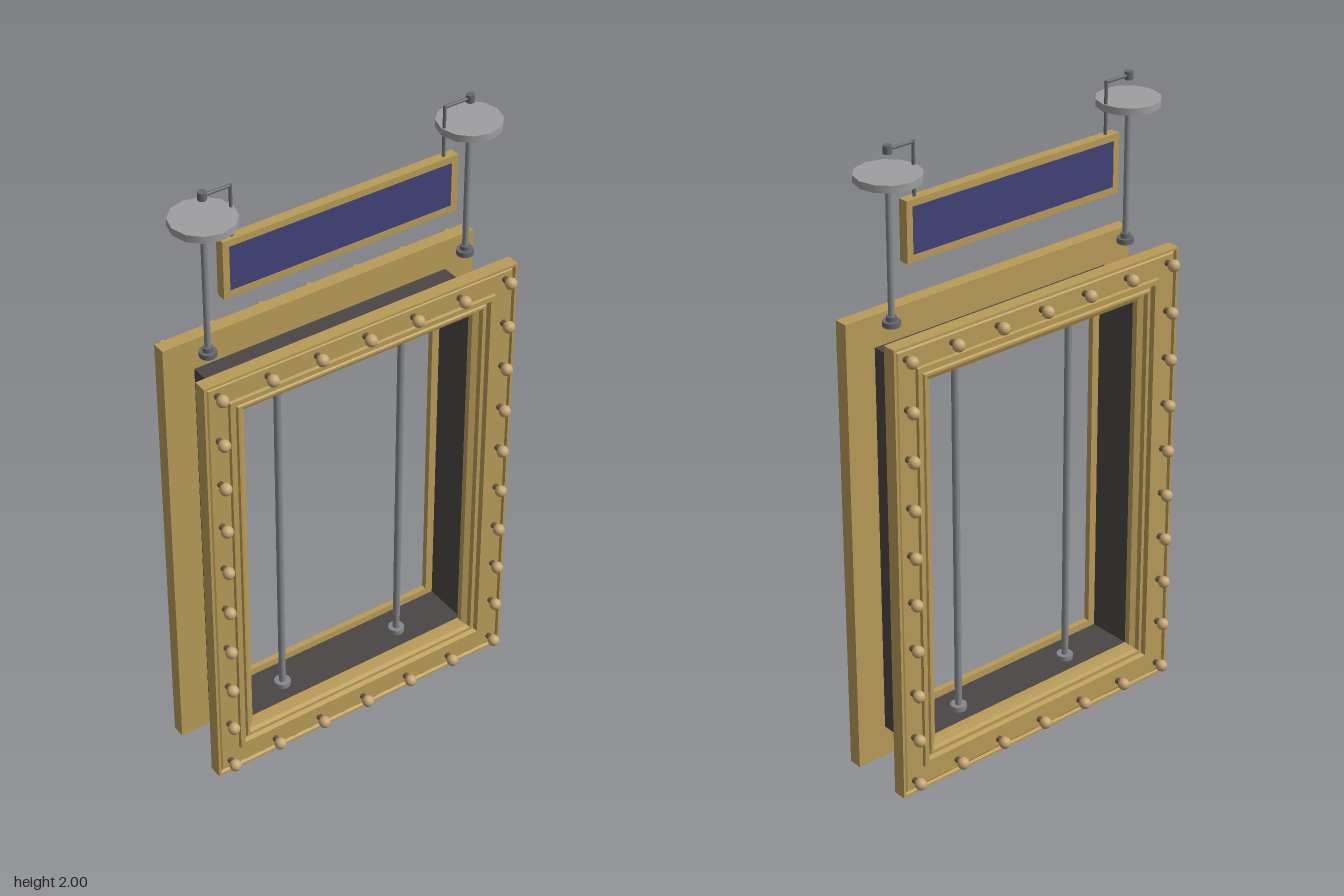
import * as THREE from 'three';

const mat = (name, color, extra = {}) => {
  const m = new THREE.MeshStandardMaterial({ color, ...extra });
  m.name = name;
  return m;
};

// Sweeps a closed (inset, z) profile around a rectangle with mitred corners
function ringGeometry(halfW, y0, y1, profile) {
  const pos = [];
  const signs = [[-1, -1], [1, -1], [1, 1], [-1, 1]];
  const corner = (c, [d, z]) => {
    const [sx, sy] = signs[c % 4];
    return [sx * (halfW - d), sy < 0 ? y0 + d : y1 - d, z];
  };
  for (let i = 0; i < profile.length; i++) {
    const p = profile[i], q = profile[(i + 1) % profile.length];
    for (let s = 0; s < 4; s++) {
      const a = corner(s, p), b = corner(s + 1, p), c = corner(s + 1, q), d = corner(s, q);
      pos.push(...a, ...b, ...c, ...a, ...c, ...d);
    }
  }
  const g = new THREE.BufferGeometry();
  g.setAttribute('position', new THREE.Float32BufferAttribute(pos, 3));
  g.computeVertexNormals();
  return g;
}

export function createModel() {
  const gold = mat('gold', 0xb99b58);
  const tan = mat('bulbTan', 0xc5a574);
  const bronze = mat('darkBronze', 0x6b5a3c);
  const dark = mat('darkLining', 0x4b4646);
  const blue = mat('signBlue', 0x424278);
  const steel = mat('steel', 0x85878c);
  const lightGrey = mat('capGrey', 0x9f9fa1);
  const hookGrey = mat('hookGrey', 0x66686e);

  const model = new THREE.Group();
  model.name = 'lightedFrame';
  const add = (parent, name, geo, material, x = 0, y = 0, z = 0) => {
    const m = new THREE.Mesh(geo, material);
    m.name = name;
    m.position.set(x, y, z);
    parent.add(m);
    return m;
  };
  const cyl = (r, h, n = 12) => new THREE.CylinderGeometry(r, r, h, n);

  // Moulded frames with bulbs, one facing each way
  const W = 0.535, H = 1.47;
  const frameGeo = ringGeometry(W, 0, H, [
    [0, 0.085], [0, 0.128], [0.008, 0.128], [0.012, 0.12], [0.017, 0.124],
    [0.077, 0.124], [0.08, 0.132], [0.095, 0.132], [0.1, 0.118], [0.106, 0.118],
    [0.11, 0.124], [0.117, 0.124], [0.122, 0.112], [0.14, 0.104], [0.14, 0.085],
  ]);
  const bulbGeo = new THREE.SphereGeometry(0.019, 12, 8);
  const stemGeo = cyl(0.01, 0.03, 8).rotateX(Math.PI / 2);

  const spots = [];
  for (let i = 0; i < 7; i++) for (const y of [0.045, 1.43]) spots.push([-0.492 + i * 0.164, y]);
  for (let i = 1; i < 9; i++) for (const x of [-0.492, 0.492]) spots.push([x, 0.045 + i * 1.385 / 9]);

  for (const [name, turn] of [['frontFrame', 0], ['backFrame', Math.PI]]) {
    const frame = new THREE.Group();
    frame.name = name;
    frame.rotation.y = turn;
    add(frame, 'moulding', frameGeo, gold);
    for (const [x, y] of spots) {
      add(frame, 'bulbStem', stemGeo, bronze, x, y, 0.132);
      add(frame, 'bulb', bulbGeo, tan, x, y, 0.154);
    }
    model.add(frame);
  }

  // Dark lining between the frames
  add(model, 'lining', ringGeometry(0.435, 0.102, 1.37, [
    [0, -0.086], [0, 0.086], [0.015, 0.086], [0.015, -0.086],
  ]), dark);

  // Hanging sign with a panel on both sides
  const sign = new THREE.Group();
  sign.name = 'sign';
  add(sign, 'signBorder', ringGeometry(0.392, 1.645, 1.83, [
    [0, -0.016], [0, 0.016], [0.021, 0.016], [0.021, -0.016],
  ]), gold);
  add(sign, 'signPanel', new THREE.BoxGeometry(0.752, 0.145, 0.028), blue, 0, 1.7375);
  model.add(sign);

  for (const s of [-1, 1]) {
    const side = new THREE.Group();
    side.name = s > 0 ? 'leftSupports' : 'rightSupports';

    // Upright rod inside the opening
    add(side, 'innerRod', cyl(0.011, 1.24), steel, s * 0.217, 0.736);
    for (const y of [0.125, 1.347]) add(side, 'rodFlange', cyl(0.026, 0.016), steel, s * 0.217, y);

    // Upper post with a round cap
    const px = s * 0.44;
    add(side, 'post', cyl(0.009, 0.43), steel, px, 1.69);
    add(side, 'postFlange', cyl(0.026, 0.016), hookGrey, px, 1.478);
    add(side, 'postCollar', cyl(0.015, 0.016), hookGrey, px, 1.492);
    add(side, 'capUnderside', cyl(0.05, 0.016), lightGrey, px, 1.893);
    add(side, 'cap', cyl(0.097, 0.022), lightGrey, px, 1.911);

    // Bent hook that carries the sign
    const hx = s * 0.352;
    add(side, 'hookKnob', cyl(0.013, 0.024), hookGrey, px, 1.988);
    add(side, 'hookArm', cyl(0.005, 0.094, 8).rotateZ(Math.PI / 2), hookGrey, (px + hx) / 2, 1.988);
    add(side, 'hookDrop', cyl(0.005, 0.165, 8), hookGrey, hx, 1.91);
    model.add(side);
  }
  return model;
}
